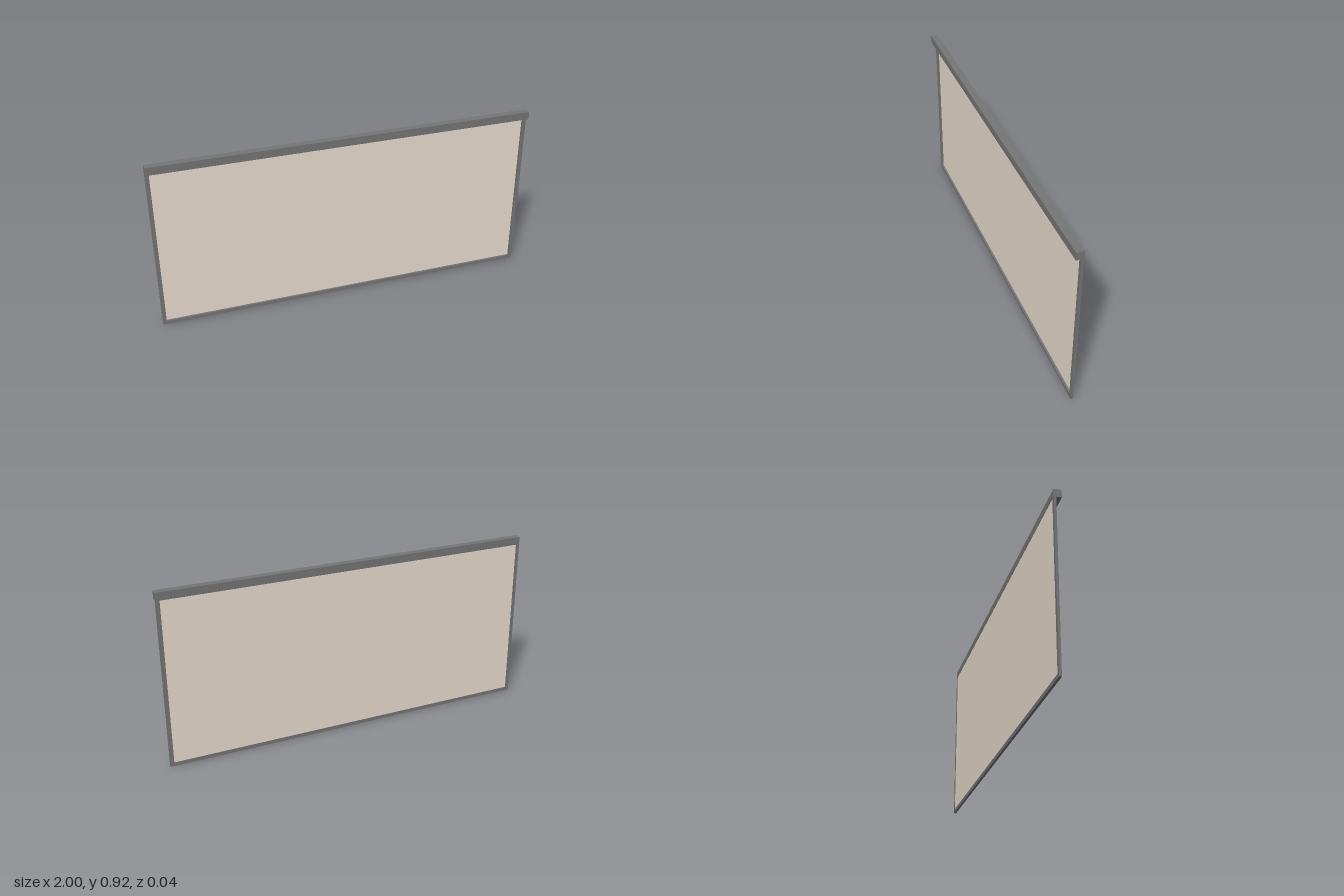
import * as THREE from 'three';

export function createModel() {
  const model = new THREE.Group();
  const frameMat = new THREE.MeshStandardMaterial({ color: 0x757575 });
  const fabricMat = new THREE.MeshStandardMaterial({ color: 0xe9ddcf });

  // Box given by its lower and upper corners
  const box = (name, mat, [x0, y0, z0], [x1, y1, z1]) => {
    const mesh = new THREE.Mesh(new THREE.BoxGeometry(x1 - x0, y1 - y0, z1 - z0), mat);
    mesh.position.set((x0 + x1) / 2, (y0 + y1) / 2, (z0 + z1) / 2);
    mesh.name = name;
    model.add(mesh);
  };

  const top = 0.922, headBottom = 0.881, rail = 0.02;
  const back = -0.019, railFront = -0.007;

  // Cassette holding the rolled fabric
  box('headBox', frameMat, [-1, headBottom, back], [1, top, 0.019]);

  // Guide rails at both sides
  box('leftRail', frameMat, [1 - rail, 0, back], [1, headBottom, railFront]);
  box('rightRail', frameMat, [-1, 0, back], [-1 + rail, headBottom, railFront]);

  // Weighted bar along the lower edge
  box('bottomBar', frameMat, [-1 + rail, 0, back], [1 - rail, rail, railFront]);

  // Thin fabric near the back of the rails
  box('fabric', fabricMat, [-1 + rail, rail, -0.0182], [1 - rail, headBottom, -0.0172]);

  return model;
}
